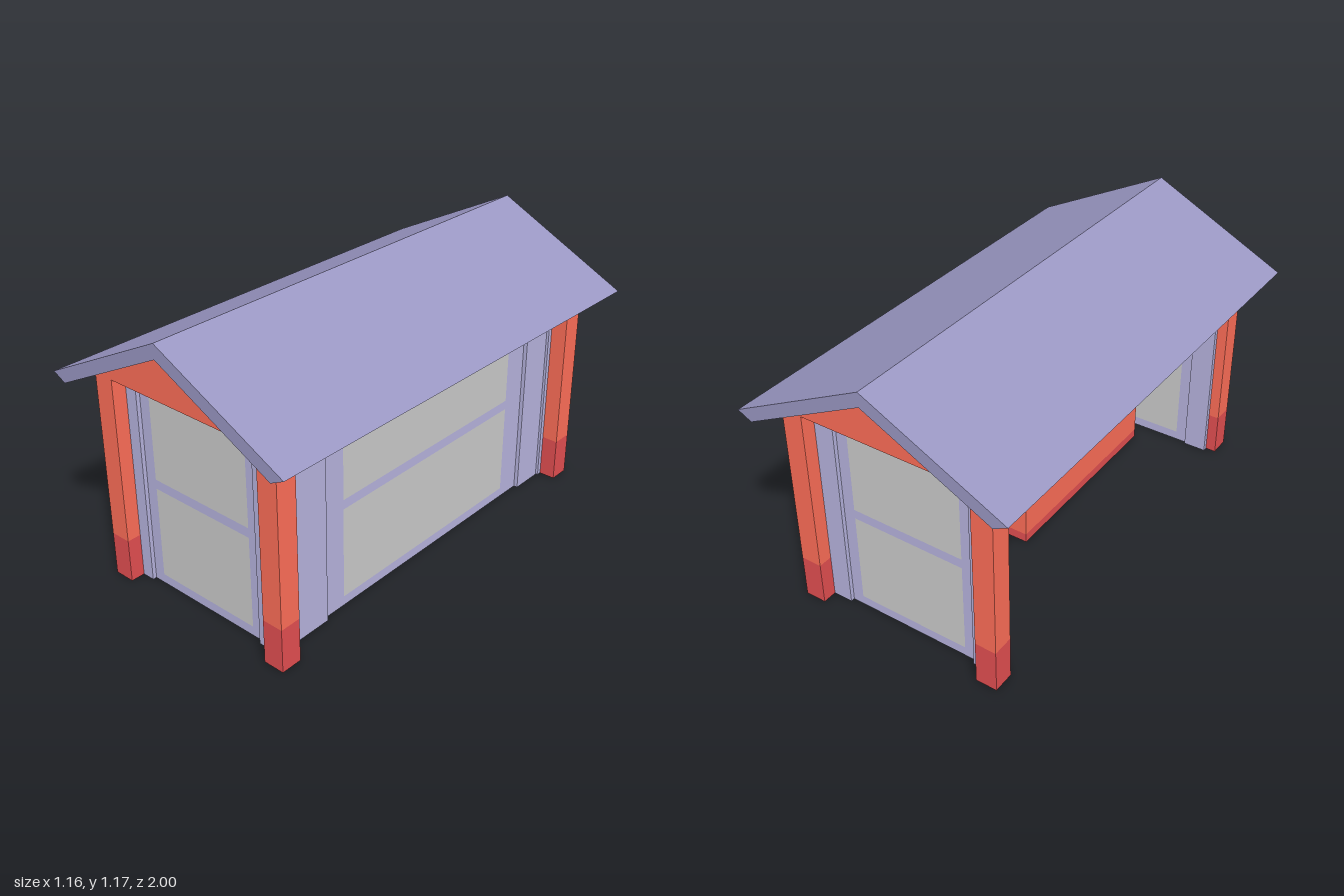
import * as THREE from 'three';

const mat = (color) => new THREE.MeshStandardMaterial({ color, flatShading: true });

export function createModel() {
  const model = new THREE.Group();
  const orange = mat(0xff6e58), red = mat(0xe34f51), frame = mat(0xb7b4df);
  const roofMat = mat(0x9a97c3), glass = mat(0xcccccc);

  // Box given by its lower and upper corners
  function box(name, parent, m, [x0, y0, z0], [x1, y1, z1]) {
    const mesh = new THREE.Mesh(new THREE.BoxGeometry(x1 - x0, y1 - y0, z1 - z0), m);
    mesh.position.set((x0 + x1) / 2, (y0 + y1) / 2, (z0 + z1) / 2);
    mesh.name = name;
    parent.add(mesh);
  }

  // Outline in x and y, extruded along z about the centre
  function prism(name, points, depth, m) {
    const shape = new THREE.Shape(points.map(([x, y]) => new THREE.Vector2(x, y)));
    const geo = new THREE.ExtrudeGeometry(shape, { depth, bevelEnabled: false });
    geo.translate(0, 0, -depth / 2);
    const mesh = new THREE.Mesh(geo, m);
    mesh.name = name;
    model.add(mesh);
  }

  const H = 0.88;

  // Roof slab and the gable block below it
  prism('roof', [[0, 1.17], [-0.58, H], [-0.52, 0.85], [0, 1.11], [0.52, 0.85], [0.58, H]], 2, roofMat);
  prism('gableBlock', [[-0.455, H], [0.455, H], [0, 1.107]], 1.82, orange);

  // Four corner posts with darker feet
  for (const sx of [-1, 1]) for (const sz of [-1, 1]) {
    const post = new THREE.Group();
    post.name = 'cornerPost';
    post.position.set(sx * 0.41, 0, sz * 0.865);
    box('postFoot', post, red, [-0.045, 0, -0.045], [0.045, 0.185, 0.045]);
    box('postShaft', post, orange, [-0.045, 0.185, -0.045], [0.045, H, 0.045]);
    model.add(post);
  }

  // Wall facing local +z: thick jambs at both ends, thinner glazed panel between
  function wall(name, angle, outer, ends, panel, panes) {
    const g = new THREE.Group();
    g.name = name;
    g.rotation.y = angle;
    const [a, b] = panel, [p, q] = panes;
    box('jamb', g, frame, [ends[0], 0, outer - 0.05], [a, H, outer]);
    box('jamb', g, frame, [b, 0, outer - 0.05], [ends[1], H, outer]);
    const z0 = outer - 0.04, z1 = outer - 0.017;
    box('panelStile', g, frame, [a, 0, z0], [p, H, z1]);
    box('panelStile', g, frame, [q, 0, z0], [b, H, z1]);
    for (const [y0, y1] of [[0, 0.04], [0.43, 0.47], [0.86, H]])
      box('panelRail', g, frame, [p, y0, z0], [q, y1, z1]);
    for (const [y0, y1] of [[0.04, 0.43], [0.47, 0.86]])
      box('pane', g, glass, [p, y0, z0], [q, y1, z1]);
    model.add(g);
  }
  wall('frontWall', 0, 0.85, [-0.41, 0.385], [-0.31, 0.28], [-0.26, 0.23]);
  wall('backWall', Math.PI, 0.85, [-0.385, 0.41], [-0.28, 0.31], [-0.23, 0.26]);
  wall('sideWall', Math.PI / 2, 0.377, [-0.8, 0.795], [-0.59, 0.65], [-0.48, 0.54]);

  // Bench block with a darker base band
  box('benchBase', model, red, [-0.09, 0, -0.18], [0.27, 0.04, 0.72]);
  box('bench', model, orange, [-0.09, 0.04, -0.18], [0.27, 0.18, 0.72]);

  return model;
}
